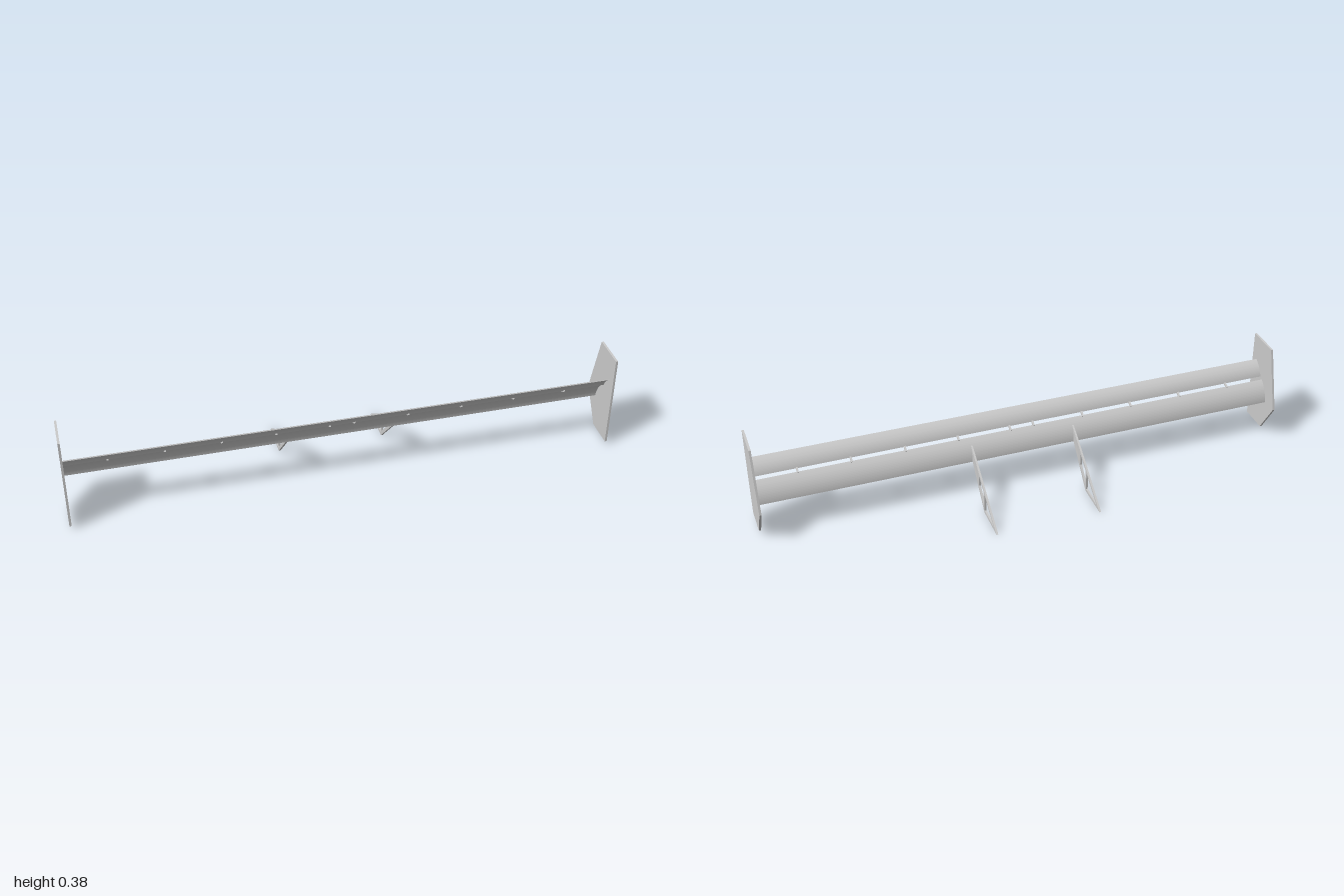
import * as THREE from 'three';

const material = new THREE.MeshStandardMaterial({ color: 0xcccccc });
const vec = (p) => new THREE.Vector2(p[0], p[1]);

// Extrudes a side profile given as [z, y] points, centred across x
function sidePart(name, outline, width, x, holes = []) {
  const shape = new THREE.Shape(outline.map(vec));
  shape.holes = holes.map((h) => new THREE.Path(h.map(vec)));
  const geometry = new THREE.ExtrudeGeometry(shape, { depth: width, bevelEnabled: false });
  geometry.translate(0, 0, -width / 2).rotateY(-Math.PI / 2);
  const mesh = new THREE.Mesh(geometry, material);
  mesh.name = name;
  mesh.position.x = x;
  return mesh;
}

// Thin cambered blade: a curve across the chord with a tapering lower skin
function blade(name, start, control, end, span) {
  const curve = new THREE.QuadraticBezierCurve(vec(start), vec(control), vec(end));
  const steps = 16;
  const upper = [], lower = [];
  for (let i = 0; i <= steps; i++) {
    const t = i / steps;
    const p = curve.getPoint(t), d = curve.getTangent(t);
    const thick = 0.002 + 0.003 * Math.sin(Math.PI * t);
    upper.push([p.x, p.y]);
    lower.unshift([p.x + d.y * thick, p.y - d.x * thick]);
  }
  return sidePart(name, [...upper, ...lower], span, 0);
}

export function createModel() {
  const model = new THREE.Group();
  model.name = 'rearWing';

  // Two curved blades with a slot between them
  model.add(blade('lowerBlade', [0.07, 0.14], [0.073, 0.189], [0.112, 0.22], 1.985));
  model.add(blade('upperBlade', [0.125, 0.226], [0.135, 0.263], [0.17, 0.28], 1.985));

  // Small tabs bridging the slot
  for (const x of [-0.84, -0.64, -0.44, -0.245, -0.05, 0.04, 0.24, 0.44, 0.64, 0.835]) {
    const tab = new THREE.Mesh(new THREE.BoxGeometry(0.007, 0.007, 0.024), material);
    tab.name = 'slotTab';
    tab.position.set(x, 0.222, 0.119);
    tab.rotation.x = -0.5;
    model.add(tab);
  }

  const plate = [[0.2, 0.016], [0.2, 0.378], [0.067, 0.378], [0.005, 0.143], [0.088, 0.016]];
  const bracket = [[-0.2, 0], [-0.06, 0], [0.07, 0.137], [0.076, 0.17], [0.09, 0.199], [0.005, 0.143]];
  const bracketHoles = [
    [[-0.168, 0.011], [-0.064, 0.011], [-0.064, 0.083]],
    [[-0.055, 0.024], [-0.001, 0.08], [-0.001, 0.127], [-0.055, 0.09]],
    [[0.006, 0.086], [0.047, 0.161], [0.006, 0.131]],
  ];
  for (const side of [-1, 1]) {
    // End plates
    model.add(sidePart('endPlate', plate, 0.008, side * 0.996));
    // Truss mounting brackets
    model.add(sidePart('mountBracket', bracket, 0.007, side * 0.198, bracketHoles));
  }
  return model;
}
